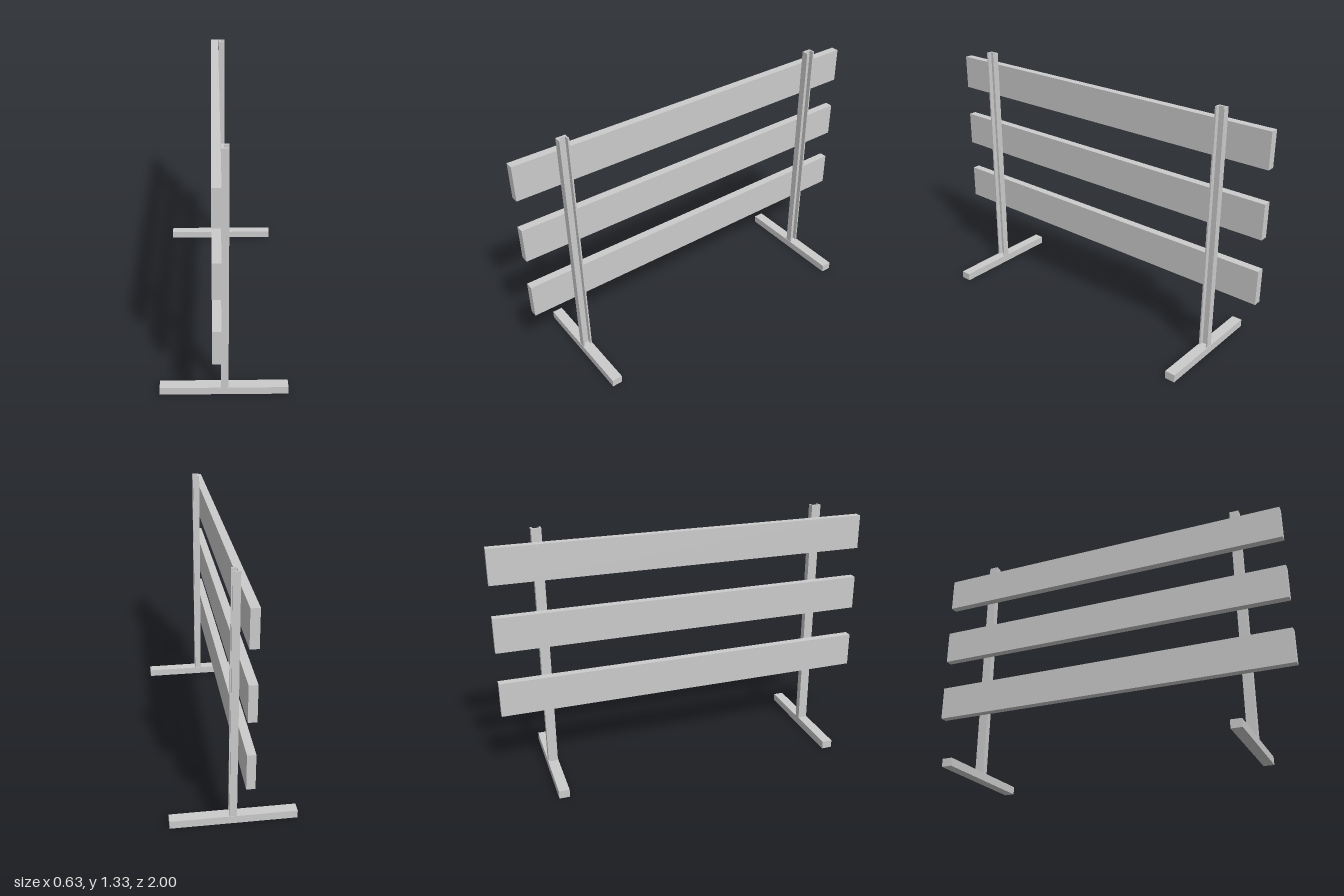
import * as THREE from 'three';

export function createModel() {
  const model = new THREE.Group();
  model.name = 'slattedBarrier';
  const material = new THREE.MeshStandardMaterial({ color: 0xcccccc, flatShading: true });

  const add = (name, geometry, x, y, z) => {
    const mesh = new THREE.Mesh(geometry, material);
    mesh.name = name;
    mesh.position.set(x, y, z);
    model.add(mesh);
  };

  const footHeight = 0.042, postTop = 1.327;

  // U-channel section, open towards +x (shape y becomes -z once upright)
  const section = new THREE.Shape([
    [-0.014, -0.025], [0.022, -0.025], [0.022, -0.017], [-0.002, -0.017],
    [-0.002, 0.017], [0.022, 0.017], [0.022, 0.025], [-0.014, 0.025],
  ].map(([x, y]) => new THREE.Vector2(x, y)));
  const postGeometry = new THREE.ExtrudeGeometry(section, {
    depth: postTop - footHeight, bevelEnabled: false,
  }).rotateX(-Math.PI / 2);
  const footGeometry = new THREE.BoxGeometry(0.634, footHeight, 0.055);

  // Two uprights, each on a crosswise foot
  for (const [side, z] of [['front', 0.75], ['back', -0.75]]) {
    add(side + 'Foot', footGeometry, 0, footHeight / 2, z);
    add(side + 'Post', postGeometry, 0, footHeight, z);
  }

  // Three long boards fixed to the closed side of the posts
  const boardGeometry = new THREE.BoxGeometry(0.042, 0.183, 2);
  ['lowerBoard', 'middleBoard', 'upperBoard'].forEach((name, i) => {
    add(name, boardGeometry, -0.035, 0.467 + i * 0.351, 0);
  });

  return model;
}
